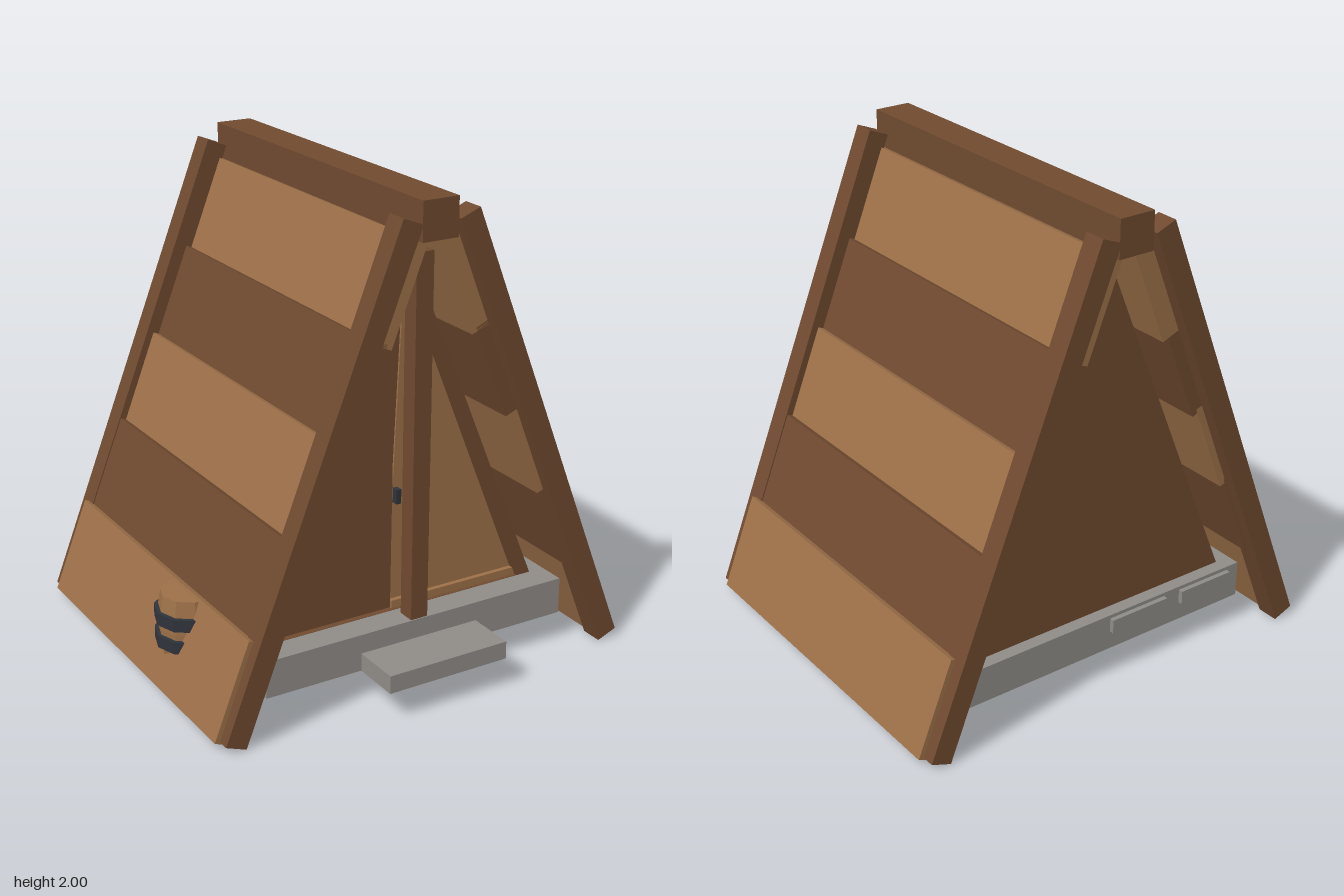
import * as THREE from 'three';

const mat = (name, color) => {
  const m = new THREE.MeshStandardMaterial({ color });
  m.name = name;
  return m;
};

export function createModel() {
  const root = new THREE.Group();
  root.name = 'aFrameHut';
  const dark = mat('dark wood', 0x6f4a2f);
  const light = mat('light wood', 0x9c7048);
  const stone = mat('grey stone', 0x8f8c87);
  const iron = mat('black iron', 0x2f333a);

  const add = (name, geo, material, x = 0, y = 0, z = 0, rz = 0) => {
    const m = new THREE.Mesh(geo, material);
    m.name = name;
    m.position.set(x, y, z);
    m.rotation.z = rz;
    root.add(m);
    return m;
  };
  // Box given by its min and max corners
  const block = (name, material, [x0, y0, z0], [x1, y1, z1]) =>
    add(name, new THREE.BoxGeometry(x1 - x0, y1 - y0, z1 - z0), material,
      (x0 + x1) / 2, (y0 + y1) / 2, (z0 + z1) / 2);
  // Upright flat polygon extruded from z0 to z1
  const slab = (name, material, pts, z0, z1, hole) => {
    const toVec = (p) => new THREE.Vector2(p[0], p[1]);
    const shape = new THREE.Shape(pts.map(toVec));
    if (hole) shape.holes.push(new THREE.Path(hole.map(toVec)));
    const geo = new THREE.ExtrudeGeometry(shape, { depth: z1 - z0, bevelEnabled: false });
    return add(name, geo, material, 0, 0, z0);
  };

  // Roof pieces: placed by distance down the slope and outward from it
  const tilt = 0.375, sn = Math.sin(tilt), cs = Math.cos(tilt);
  const slope = (name, material, side, along, out, len, thick, z, depth) =>
    add(name, new THREE.BoxGeometry(thick, len, depth), material,
      side * (0.08 + sn * along + cs * out), 1.915 - cs * along + sn * out, z, side * tilt);

  for (const side of [1, -1]) {
    const label = side > 0 ? 'left' : 'right';
    for (const [end, z] of [['Front', 0.697], ['Back', -0.812]])
      slope(label + end + 'Rafter', dark, side, 1.026, 0.046, 2.052, 0.092, z, 0.094);
    // Overlapping planks, each stepped further out than the one above
    for (let i = 0; i < 5; i++)
      slope(label + 'RoofPlank' + (i + 1), i % 2 ? dark : light, side,
        0.2655 + 0.397 * i, -0.034 + 0.025 * i, 0.415, 0.092, -0.055, 1.5);
  }
  block('ridgeBeam', dark, [-0.078, 1.845, -0.845], [0.078, 2, 0.735]);

  // Stone base, step and raised stones
  block('foundation', stone, [-0.69, 0.13, -0.755], [0.69, 0.285, 0.645]);
  block('frontStep', stone, [-0.27, 0.13, 0.64], [0.27, 0.205, 0.855]);
  block('backStone1', stone, [-0.29, 0.21, -0.775], [-0.01, 0.27, -0.75]);
  block('backStone2', stone, [-0.63, 0.21, -0.775], [-0.37, 0.27, -0.75]);
  block('sideStone', stone, [0.68, 0.215, 0.0], [0.71, 0.27, 0.28]);

  // Triangular cabin, front frame and the two door leaves
  const outer = [[-0.62, 0.285], [0.62, 0.285], [0, 1.78]];
  slab('cabinWalls', dark, outer, -0.7, 0.49);
  slab('doorFrame', dark, outer, 0.49, 0.53, [[-0.555, 0.286], [0, 1.65], [0.555, 0.286]]);
  slab('rightDoorLeaf', dark, [[-0.555, 0.285], [-0.05, 0.285], [-0.04, 1.55]], 0.49, 0.505);
  slab('leftDoorLeaf', light, [[-0.05, 0.32], [0.54, 0.32], [0, 1.65], [-0.04, 0.8]], 0.49, 0.498);
  block('doorSill', light, [-0.05, 0.285, 0.49], [0.55, 0.318, 0.515]);
  block('doorHandle', iron, [-0.042, 0.74, 0.5], [-0.02, 0.8, 0.53]);
  block('frontPost', dark, [-0.038, 0.285, 0.565], [0.038, 1.78, 0.64]);

  // Ten-sided barrel with two iron hoops beside the roof foot
  const profile = [[0, 0.13], [0.115, 0.13], [0.13, 0.2], [0.133, 0.27], [0.13, 0.35], [0.12, 0.412], [0, 0.412]];
  const barrelGeo = new THREE.LatheGeometry(profile.map((p) => new THREE.Vector2(p[0], p[1])), 10)
    .toNonIndexed();
  barrelGeo.computeVertexNormals();
  add('barrel', barrelGeo, light, -0.77, 0, 0.18).rotation.y = Math.PI / 2;
  for (const y of [0.223, 0.32]) {
    const hoop = new THREE.CylinderGeometry(0.147, 0.147, 0.052, 10).toNonIndexed();
    hoop.computeVertexNormals();
    add('barrelHoop', hoop, iron, -0.77, y, 0.18).rotation.y = Math.PI / 2;
  }
  return root;
}
